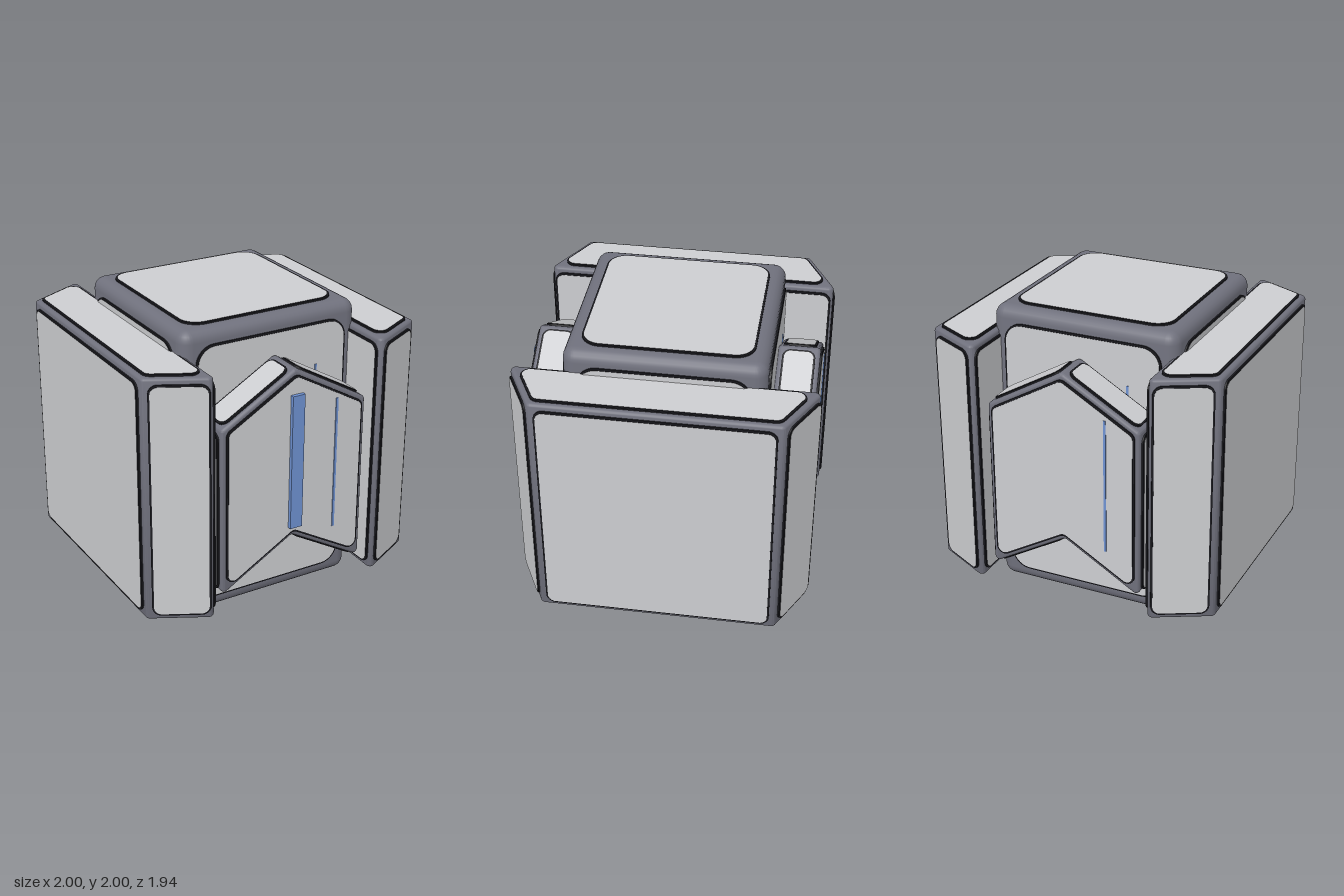
import * as THREE from 'three';
import { toCreasedNormals } from 'three/addons/utils/BufferGeometryUtils.js';

const mat = (name, color) => {
  const m = new THREE.MeshStandardMaterial({ color });
  m.name = name;
  return m;
};

// Outward mitre data at each corner of a counter-clockwise polygon
function corners(pts) {
  const normal = (a, b) => new THREE.Vector2(b.y - a.y, a.x - b.x).normalize();
  return pts.map((p, i) => {
    const prev = pts[(i + pts.length - 1) % pts.length];
    const next = pts[(i + 1) % pts.length];
    const n1 = normal(prev, p), n2 = normal(p, next);
    const mitre = n1.clone().add(n2).divideScalar(1 + n1.dot(n2));
    return { p, n1, n2, mitre, convex: n1.cross(n2) > 0 };
  });
}

const inset = (pts, d) => corners(pts).map(({ p, mitre }) => p.clone().addScaledVector(mitre, -d));

// Polygon with every corner replaced by an arc
function roundedShape(pts, r) {
  const shape = new THREE.Shape();
  corners(pts).forEach(({ p, n1, n2, mitre, convex }, i) => {
    const s = convex ? 1 : -1;
    const c = p.clone().addScaledVector(mitre, -s * r);
    const start = c.clone().addScaledVector(n1, s * r);
    if (i === 0) shape.moveTo(start.x, start.y);
    const a1 = Math.atan2(s * n1.y, s * n1.x), a2 = Math.atan2(s * n2.y, s * n2.x);
    shape.absarc(c.x, c.y, r, a1, a2, !convex);
  });
  shape.closePath();
  return shape;
}

export function createModel() {
  const frameMat = mat('slate frame', 0x70717d);
  const panelMat = mat('pale panel', 0xcdced1);
  const rimMat = mat('dark rim', 0x1c1c21);
  const blueMat = mat('blue marking', 0x6f92d2);
  const model = new THREE.Group();

  // Raised pale panel with a dark rim, lying on the local z = 0 plane
  function panel(pts, gap, radius) {
    const g = new THREE.Group();
    g.name = 'panel';
    const add = (name, d, r, depth, mats) => {
      const geo = new THREE.ExtrudeGeometry(roundedShape(inset(pts, d), r),
        { depth, bevelEnabled: false, curveSegments: 8 });
      const mesh = new THREE.Mesh(geo, mats);
      mesh.name = name;
      g.add(mesh);
    };
    add('panelRim', gap - 0.012, radius + 0.012, 0.01, rimMat);
    add('panelFace', gap, radius, 0.014, [panelMat, rimMat]);
    return g;
  }

  // Soft-edged prism with a panel on both caps and on every side
  function shell(name, outline, depth, { bevel, gap, radius }) {
    const g = new THREE.Group();
    g.name = name;
    const pts = outline.map(([x, y]) => new THREE.Vector2(x, y));
    const geo = new THREE.ExtrudeGeometry(roundedShape(pts, bevel + 0.008), {
      depth: depth - 2 * bevel, bevelThickness: bevel, bevelSize: bevel,
      bevelOffset: -bevel, bevelSegments: 5, curveSegments: 8,
    });
    geo.translate(0, 0, bevel - depth / 2);
    const body = new THREE.Mesh(toCreasedNormals(geo, 0.6), frameMat);
    body.name = name + 'Frame';
    g.add(body);

    const front = panel(pts, gap, radius);
    front.position.z = depth / 2;
    const back = panel(pts.map((p) => new THREE.Vector2(-p.x, p.y)).reverse(), gap, radius);
    back.rotation.y = Math.PI;
    back.position.z = -depth / 2;
    g.add(front, back);

    pts.forEach((a, i) => {
      const b = pts[(i + 1) % pts.length];
      const w = a.distanceTo(b) / 2, h = depth / 2;
      const dir = b.clone().sub(a).normalize();
      const rect = [[-w, -h], [w, -h], [w, h], [-w, h]].map(([x, y]) => new THREE.Vector2(x, y));
      const side = panel(rect, gap, radius);
      side.applyMatrix4(new THREE.Matrix4().makeBasis(
        new THREE.Vector3(dir.x, dir.y, 0), new THREE.Vector3(0, 0, 1),
        new THREE.Vector3(dir.y, -dir.x, 0),
      ).setPosition((a.x + b.x) / 2, (a.y + b.y) / 2, 0));
      g.add(side);
    });
    return g;
  }

  function bar(name, parent, w, h, d, x, y, z) {
    const mesh = new THREE.Mesh(new THREE.BoxGeometry(w, h, d), blueMat);
    mesh.name = name;
    mesh.position.set(x, y, z);
    parent.add(mesh);
  }

  // Tall central block
  const c = 0.637;
  const core = shell('core', [[-c, -c], [c, -c], [c, c], [-c, c]], 1.972,
    { bevel: 0.075, gap: 0.107, radius: 0.115 });
  core.rotation.x = -Math.PI / 2;
  core.position.y = 1;
  model.add(core);

  const slabOutline = [[0.59, -0.98], [0.985, -0.775], [0.985, 0.775], [0.59, 0.98]];
  const chevronOutline = [[0, 0.588], [0.525, 0.284], [0.525, 1.44],
    [0, 1.743], [-0.525, 1.44], [-0.525, 0.284]];

  for (const k of [0, 1]) {
    // Side slab with slanted ends
    const sideGroup = new THREE.Group();
    sideGroup.name = k ? 'rightSide' : 'leftSide';
    const slab = shell('slab', slabOutline, 1.65, { bevel: 0.025, gap: 0.048, radius: 0.05 });
    slab.rotation.x = -Math.PI / 2;
    slab.position.y = 1.003;
    sideGroup.add(slab);

    // Chevron plate with its thin blue lines
    const endGroup = new THREE.Group();
    endGroup.name = k ? 'backEnd' : 'frontEnd';
    const chevron = shell('chevron', chevronOutline, 0.272, { bevel: 0.022, gap: 0.042, radius: 0.042 });
    chevron.position.z = 0.786;
    endGroup.add(chevron);
    bar('thinLine', endGroup, 0.016, 0.91, 0.012, 0.298, 1.035, 0.936);
    bar('coreLine', endGroup, 0.014, 0.9, 0.012, 0.32, 1.16, 0.651);

    sideGroup.rotation.y = endGroup.rotation.y = k * Math.PI;
    model.add(sideGroup, endGroup);
  }

  // Wide blue bar on the front only
  bar('frontBar', model, 0.088, 0.92, 0.03, 0, 1.12, 0.947);
  return model;
}
